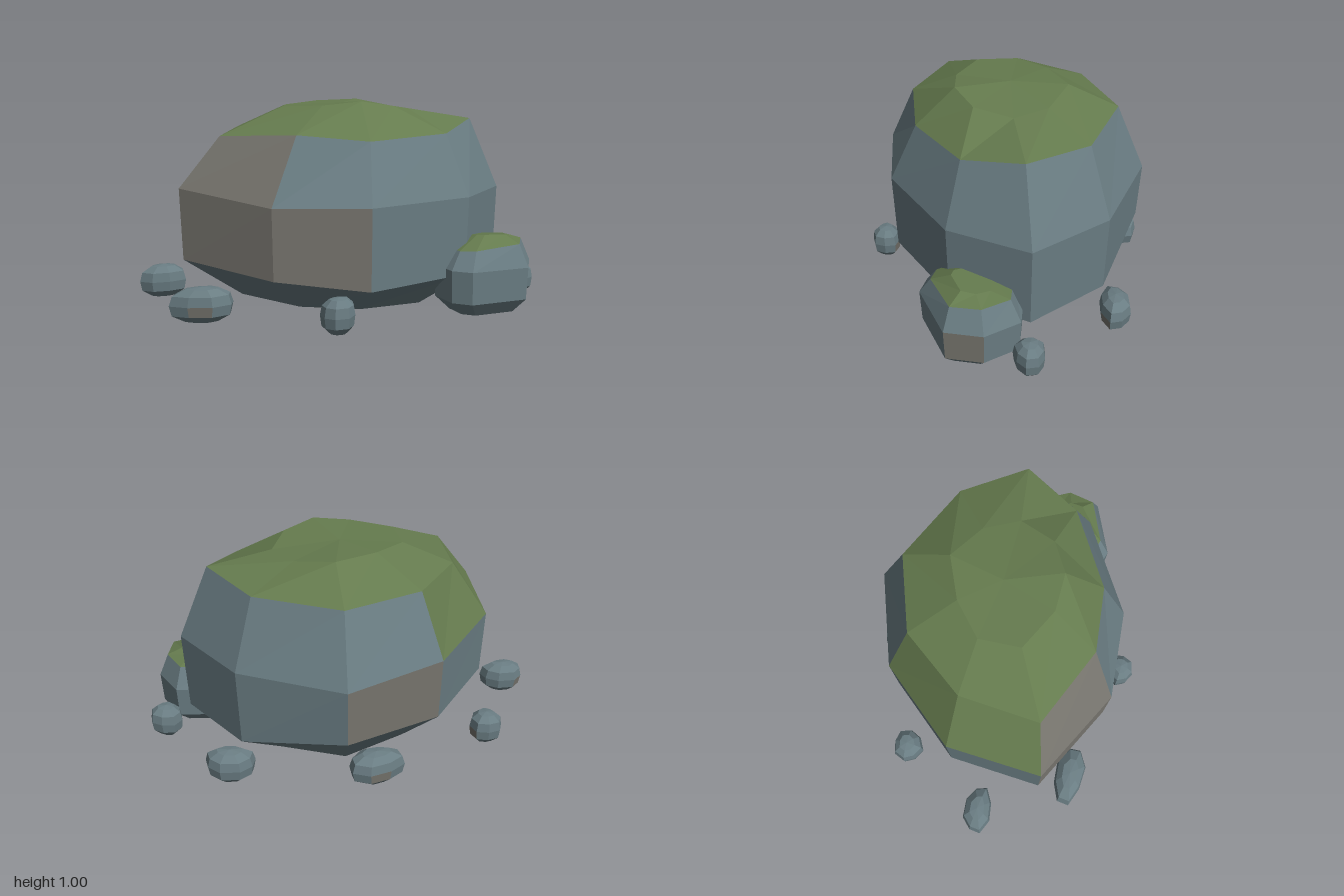
import * as THREE from 'three';

const COLORS = { rock: 0x6a7d83, weathered: 0x77756e, moss: 0x657b4e };

// Stone made of stacked rings of [x, y, z] points (bottom to top), one mesh per surface kind.
// pick(band, panel) names the surface; band -1 is the underside, the last band is the crown.
function stone(name, rings, bottom, top, pick) {
  const faces = { rock: [], weathered: [], moss: [] };
  const n = rings[0].length;
  const last = rings.length - 1;
  const tri = (kind, ...pts) => pts.forEach((p) => faces[kind].push(...p));
  for (let i = 0; i < n; i++) {
    const j = (i + 1) % n;
    tri(pick(-1, i), rings[0][j], rings[0][i], bottom);
    for (let b = 0; b < last; b++) {
      const lo = rings[b], up = rings[b + 1], kind = pick(b, i);
      tri(kind, lo[i], lo[j], up[j]);
      tri(kind, lo[i], up[j], up[i]);
    }
    tri(pick(last, i), rings[last][i], rings[last][j], top);
  }
  const group = new THREE.Group();
  group.name = name;
  for (const kind in faces) {
    if (!faces[kind].length) continue;
    const geo = new THREE.BufferGeometry();
    geo.setAttribute('position', new THREE.Float32BufferAttribute(faces[kind], 3));
    geo.computeVertexNormals();
    const mesh = new THREE.Mesh(geo, new THREE.MeshStandardMaterial({ color: COLORS[kind], flatShading: true }));
    mesh.name = name + kind[0].toUpperCase() + kind.slice(1);
    group.add(mesh);
  }
  return group;
}

// Ring from an [x, z] outline, scaled about (cx, cz), with a height per point.
const ring = (outline, scale, cx, cz, height) => outline.map(([x, z], i) => {
  const px = cx + (x - cx) * scale, pz = cz + (z - cz) * scale;
  return [px, typeof height === 'function' ? height(px, pz, i) : height, pz];
});

function mainBoulder() {
  const outline = [[-0.75, 0.27], [-0.31, 0.55], [0.13, 0.56], [0.6, 0.33], [0.81, -0.02],
    [0.6, -0.4], [0.15, -0.67], [-0.33, -0.54], [-0.68, -0.19]];
  const lowY = [0.26, 0.22, 0.17, 0.19, 0.17, 0.17, 0.26, 0.25, 0.26];
  const midY = [0.6, 0.55, 0.55, 0.56, 0.56, 0.55, 0.54, 0.56, 0.58];
  const shoulder = [[-0.56, 0.84, 0.23], [-0.2, 0.86, 0.43], [0.13, 0.83, 0.43], [0.5, 0.85, 0.25],
    [0.66, 0.905, -0.01], [0.5, 0.88, -0.32], [0.13, 0.87, -0.53], [-0.25, 0.87, -0.43], [-0.5, 0.86, -0.15]];
  const crown = [[-0.27, 0.97, 0.1], [-0.08, 0.98, 0.22], [0.1, 1.0, 0.24], [0.26, 0.975, 0.17],
    [0.35, 0.955, 0], [0.28, 0.96, -0.17], [0.11, 0.99, -0.29], [-0.1, 0.985, -0.22], [-0.26, 0.97, -0.1]];
  const rings = [
    ring(outline, 0.64, 0.02, -0.04, (x) => 0.035 - 0.05 * x),
    ring(outline, 0.985, 0, 0, (x, z, i) => lowY[i]),
    ring(outline, 1, 0, 0, (x, z, i) => midY[i]),
    shoulder, crown,
  ];
  return stone('mainBoulder', rings, [0, 0.03, -0.04], [0.03, 0.985, -0.03], (band, i) => {
    if (band >= 3 || (band === 2 && i >= 7)) return 'moss';
    if (band === -1 || (band === 2 && i === 0)) return 'weathered';
    return band === 1 && [0, 1, 6].includes(i) ? 'weathered' : 'rock';
  });
}

function smallBoulder() {
  const outline = [[0.45, 0.28], [0.51, 0.42], [0.6, 0.46], [0.88, 0.37], [0.93, 0.2], [0.86, 0.03], [0.67, -0.01], [0.51, 0.09]];
  const rings = [
    ring(outline, 0.68, 0.7, 0.23, 0.005),
    ring(outline, 0.97, 0.7, 0.23, 0.075),
    ring(outline, 1, 0.7, 0.23, 0.23),
    ring(outline, 0.78, 0.71, 0.22, (x) => 0.325 + (x - 0.7) * 0.08),
    ring(outline, 0.38, 0.73, 0.23, (x, z) => 0.36 + (z - 0.2) * 0.15),
  ];
  return stone('smallBoulder', rings, [0.7, 0.005, 0.23], [0.73, 0.365, 0.23], (band, i) =>
    band >= 3 ? 'moss' : band === 1 && i === 3 ? 'weathered' : 'rock');
}

// Eight-sided pebble with uneven radii, turned about its centre.
function pebble([x, z, rx, rz, turn], index) {
  const outline = [];
  for (let i = 0; i < 8; i++) {
    const a = -i * Math.PI / 4 + Math.PI / 8;
    const r = 1.03 + 0.07 * Math.sin(i * 2.3 + index * 1.7);
    outline.push([Math.cos(a) * rx * r, Math.sin(a) * rz * r]);
  }
  // profile as [height, radius]
  const rings = [[0.01, 0.52], [0.042, 0.92], [0.09, 1], [0.135, 0.9], [0.163, 0.52]].map(([y, s]) =>
    ring(outline, s, 0, 0, (px) => y + px * 0.05));
  const group = stone('pebble' + (index + 1), rings, [0, 0.008, 0], [0, 0.17, 0], (band, i) =>
    band === 1 && i === (index * 3) % 8 ? 'weathered' : 'rock');
  group.position.set(x, 0, z);
  group.rotation.y = turn;
  return group;
}

export function createModel() {
  const model = new THREE.Group();
  model.name = 'mossyBoulders';
  model.add(mainBoulder(), smallBoulder());
  // pebbles around the base: x, z, half width, half depth, turn
  [
    [-0.615, -0.44, 0.08, 0.075, 0.3],
    [-0.885, -0.02, 0.115, 0.07, 0],
    [-0.635, 0.42, 0.15, 0.075, -0.1],
    [-0.02, 0.615, 0.077, 0.068, 0.2],
    [0.92, 0, 0.078, 0.07, 0],
    [0.655, -0.44, 0.115, 0.072, -0.15],
    [0, -0.615, 0.135, 0.075, 0.12],
  ].forEach((p, i) => model.add(pebble(p, i)));
  return model;
}
